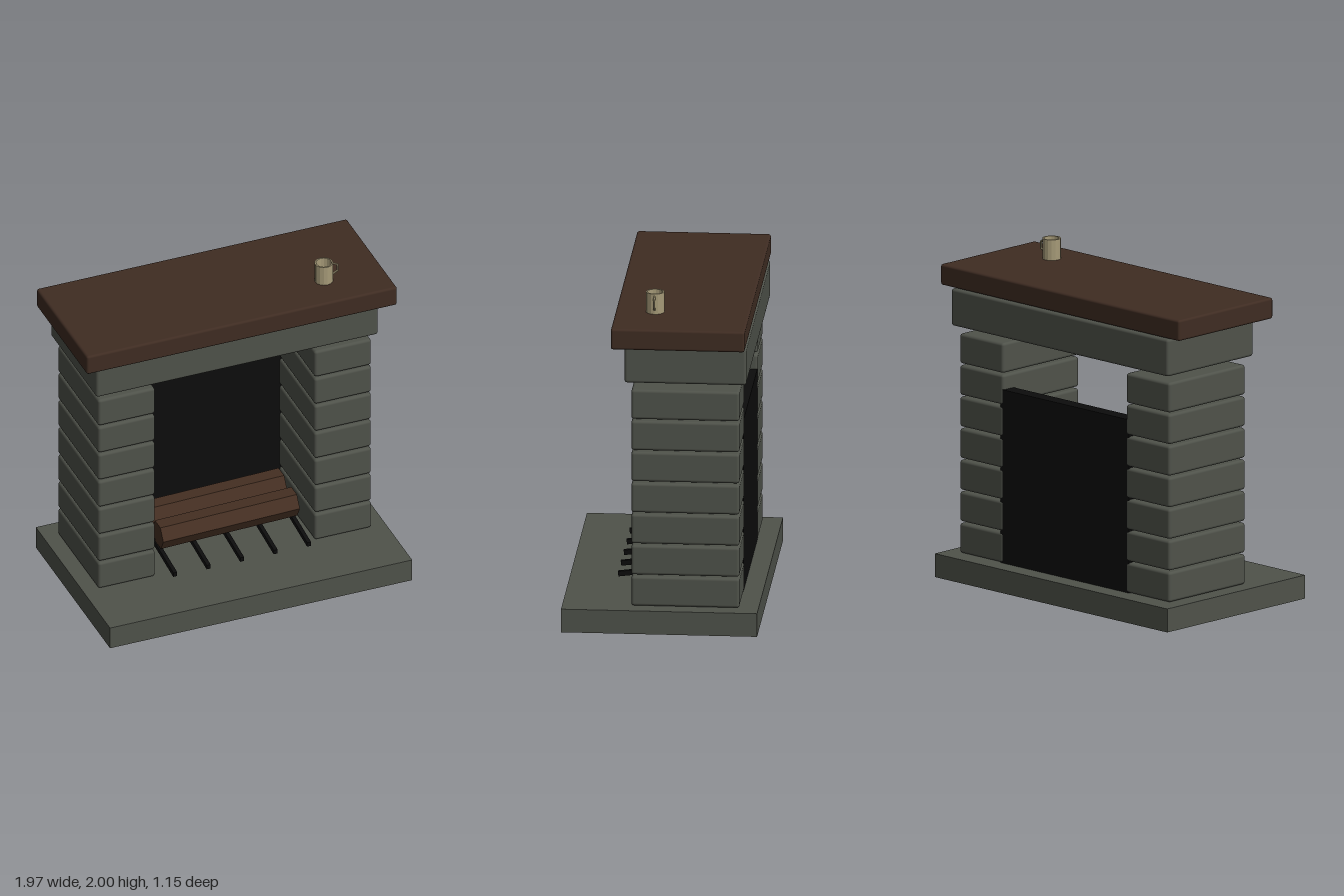
import * as THREE from 'three';
import { RoundedBoxGeometry } from 'three/addons/geometries/RoundedBoxGeometry.js';

const material = (name, color, options = {}) => {
  const m = new THREE.MeshStandardMaterial({ color, ...options });
  m.name = name;
  return m;
};

export function createModel() {
  const stone = material('stone', 0x4f524a);
  const wood = material('mantelWood', 0x3f2c22);
  const bark = material('logWood', 0x452f22);
  const iron = material('sootBlack', 0x0c0c0c);
  const ceramic = material('ceramic', 0xa69a78, { flatShading: true });
  bark.flatShading = true;

  const model = new THREE.Group();
  model.name = 'fireplace';

  const add = (name, geometry, mat, x, y, z, parent = model) => {
    const mesh = new THREE.Mesh(geometry, mat);
    mesh.name = name;
    mesh.position.set(x, y, z);
    parent.add(mesh);
    return mesh;
  };
  // Box from its limits on each axis, with softened edges when bevel > 0
  const block = (name, mat, [x0, x1], [y0, y1], [z0, z1], bevel = 0, parent = model) => {
    const size = [x1 - x0, y1 - y0, z1 - z0];
    const geometry = bevel
      ? new RoundedBoxGeometry(...size, 2, bevel)
      : new THREE.BoxGeometry(...size);
    return add(name, geometry, mat, (x0 + x1) / 2, (y0 + y1) / 2, (z0 + z1) / 2, parent);
  };

  // Hearth slab and sooty back wall
  block('hearth', stone, [-0.957, 0.957], [0, 0.142], [-0.577, 0.577]);
  block('fireback', iron, [-0.528, 0.528], [0.142, 1.19], [-0.462, -0.375]);

  // Two pillars of seven stacked stones
  for (const side of [-1, 1]) {
    const pillar = new THREE.Group();
    pillar.name = side > 0 ? 'leftPillar' : 'rightPillar';
    model.add(pillar);
    const span = side > 0 ? [0.505, 0.865] : [-0.865, -0.505];
    for (let i = 0; i < 7; i++) {
      const y = 0.143 + i * 0.191;
      block('pillarStone', stone, span, [y, y + 0.181], [-0.465, 0.172], 0.017, pillar);
    }
  }

  // Lintel and mantel shelf
  block('lintel', stone, [-0.893, 0.893], [1.52, 1.745], [-0.508, 0.21], 0.017);
  block('mantel', wood, [-0.983, 0.983], [1.75, 1.876], [-0.505, 0.283], 0.014);

  // Grate bars, rising towards the back
  const grate = new THREE.Group();
  grate.name = 'grate';
  model.add(grate);
  for (let i = -2; i <= 2; i++) {
    const bar = add('grateBar', new THREE.BoxGeometry(0.024, 0.03, 0.66), iron,
      i * 0.212, 0.247, -0.045, grate);
    bar.rotation.x = 0.13;
  }

  // Six-sided logs lying across the grate
  const logs = new THREE.Group();
  logs.name = 'logs';
  model.add(logs);
  for (const [y, z, tilt] of [[0.343, 0.033, 0.022], [0.355, -0.165, 0.022]]) {
    const log = new THREE.CylinderGeometry(0.086, 0.086, 0.865, 6);
    log.rotateZ(Math.PI / 2);
    add('log', log, bark, 0, y, z, logs).rotation.z = tilt;
  }

  // Hollow mug with an angular handle
  const mug = new THREE.Group();
  mug.name = 'mug';
  mug.position.set(0.612, 1.876, 0.05);
  model.add(mug);
  const profile = [[0, 0], [0.055, 0], [0.055, 0.124], [0.046, 0.124], [0.046, 0.012], [0, 0.012]]
    .map(([x, y]) => new THREE.Vector2(x, y));
  add('mugBody', new THREE.LatheGeometry(profile, 16), ceramic, 0, 0, 0, mug);
  const handle = new THREE.TorusGeometry(0.04, 0.007, 6, 3, Math.PI);
  handle.rotateZ(-Math.PI / 2);
  add('mugHandle', handle, ceramic, 0.052, 0.068, 0, mug);

  return model;
}
